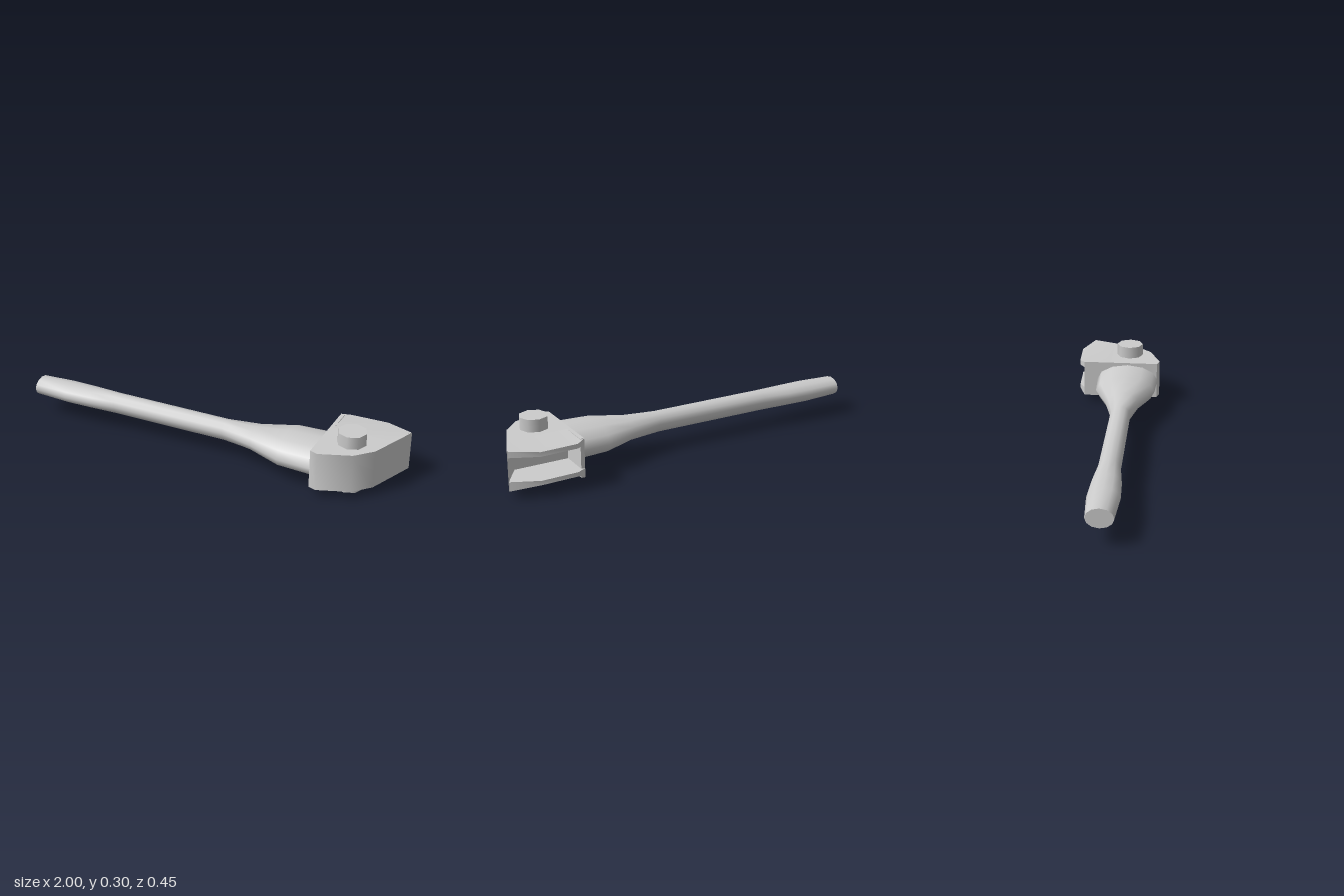
import * as THREE from 'three';
import { mergeVertices, toCreasedNormals } from 'three/addons/utils/BufferGeometryUtils.js';

const material = new THREE.MeshStandardMaterial({ color: 0xcccccc });

function addMesh(group, geometry, name) {
  const mesh = new THREE.Mesh(geometry, material);
  mesh.name = name;
  group.add(mesh);
  return mesh;
}

function smooth(geometry, angle) {
  geometry.deleteAttribute('normal');
  geometry.deleteAttribute('uv');
  return toCreasedNormals(mergeVertices(geometry), angle);
}

// Upright prism from an outline of [x, z] points
function prism(outline, bottom, top) {
  const shape = new THREE.Shape(outline.map(([x, z]) => new THREE.Vector2(x, -z)));
  return new THREE.ExtrudeGeometry(shape, { depth: top - bottom, bevelEnabled: false })
    .rotateX(-Math.PI / 2)
    .translate(0, bottom, 0);
}

// Shaft with oval cross-sections: [x, half height, half width]
function handleGeometry() {
  const sections = [
    [-1, 0.048, 0.065], [-0.81, 0.053, 0.077], [-0.67, 0.053, 0.071],
    [-0.52, 0.054, 0.055], [0.11, 0.054, 0.053], [0.28, 0.059, 0.093],
    [0.45, 0.081, 0.16], [0.63, 0.086, 0.168],
  ];
  const steps = sections.length - 1;
  const geometry = new THREE.CylinderGeometry(1, 1, 1, 12, steps).rotateZ(-Math.PI / 2);
  const p = geometry.attributes.position;
  for (let i = 0; i < p.count; i++) {
    const [x, h, w] = sections[Math.round((p.getX(i) + 0.5) * steps)];
    p.setXYZ(i, x, 0.141 + p.getY(i) * h, 0.046 + p.getZ(i) * w);
  }
  return smooth(geometry, 1);
}

// Jaw plate whose rear lip is chamfered on the outer face
function jawGeometry(bottom, top, outer, lip) {
  const outline = [[0.625, -0.197], [0.67, -0.225], [0.86, -0.23], [0.995, -0.17], [0.93, -0.05], [0.625, -0.05]];
  const geometry = prism(outline, bottom, top);
  const p = geometry.attributes.position;
  for (let i = 0; i < p.count; i++) {
    if (p.getZ(i) < -0.21 && Math.abs(p.getY(i) - outer) < 0.001) p.setY(i, lip);
  }
  return smooth(geometry, 0.6);
}

export function createModel() {
  const group = new THREE.Group();
  group.name = 'hingedTool';

  addMesh(group, handleGeometry(), 'handle');

  // Head body, hollowed at the back by a pocket
  const body = prism([
    [0.625, -0.197], [0.645, -0.197], [0.645, -0.05], [0.92, -0.05], [0.998, -0.17],
    [0.9, 0.08], [0.82, 0.165], [0.665, 0.224], [0.625, 0.21],
  ], 0.041, 0.239);
  addMesh(group, smooth(body, 0.75), 'headBody');

  // Plates above and below the pocket
  addMesh(group, jawGeometry(0.207, 0.239, 0.239, 0.23), 'upperJaw');
  addMesh(group, jawGeometry(0.041, 0.088, 0.041, 0.066), 'lowerJaw');

  // Hinge pin through the head
  const pin = new THREE.CylinderGeometry(0.072, 0.072, 0.302, 8);
  addMesh(group, pin, 'hingePin').position.set(0.772, 0.151, 0.05);

  return group;
}
